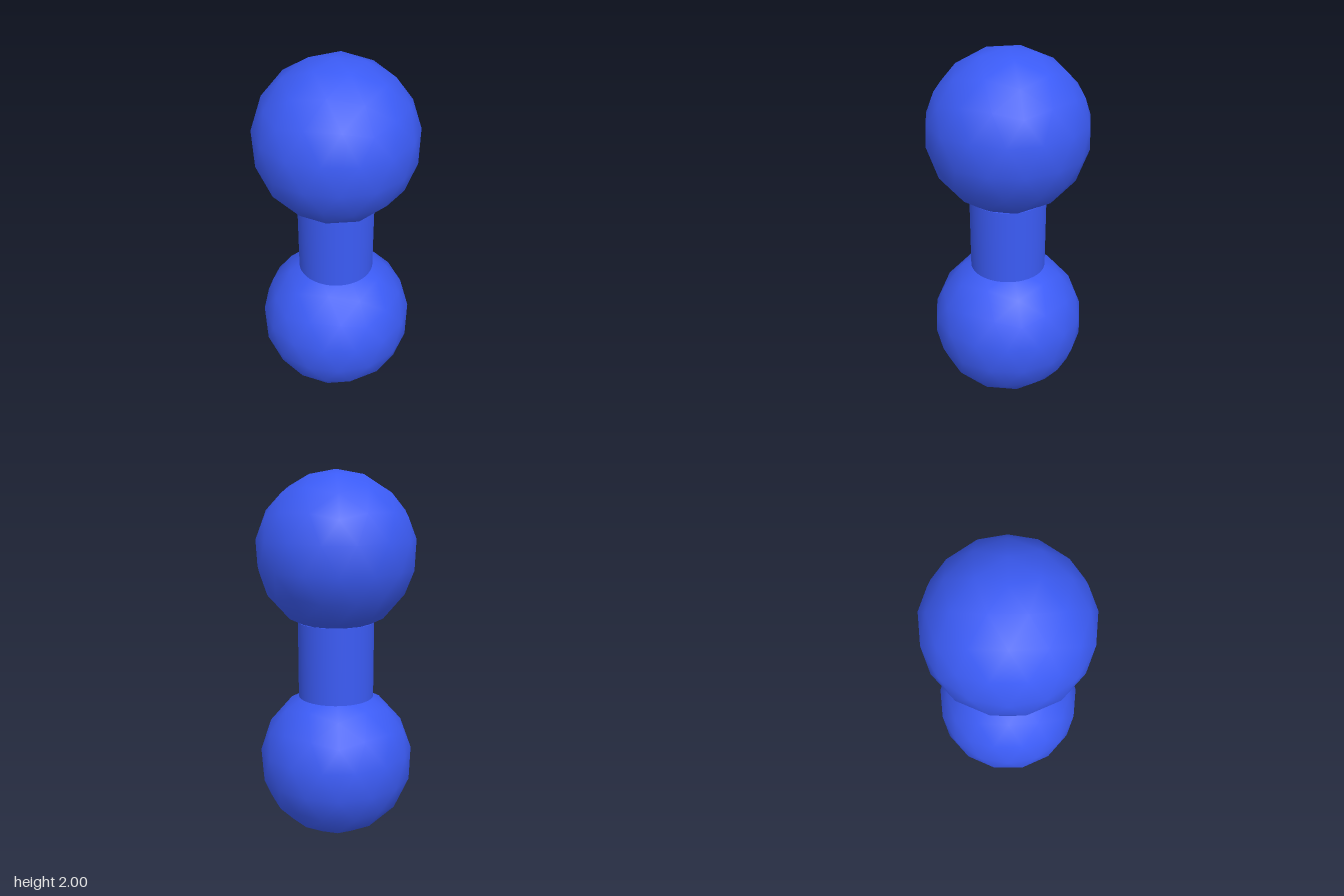
import * as THREE from 'three';

export function createModel() {
  const model = new THREE.Group();
  model.name = 'dumbbell';
  const material = new THREE.MeshStandardMaterial({ color: 0x3b5bf5 });

  function add(name, geometry, y) {
    const mesh = new THREE.Mesh(geometry, material);
    mesh.name = name;
    mesh.position.y = y;
    model.add(mesh);
  }

  // Coarse, smooth-shaded ball with one corner of the icosahedron pointing up
  const radius = 0.425;
  const ball = new THREE.IcosahedronGeometry(radius, 2);
  ball.rotateZ(-Math.atan(2 / (1 + Math.sqrt(5))));

  // Two equal balls joined by a short bar
  add('lowerBall', ball, radius);
  add('upperBall', ball, 2 - radius);
  add('bar', new THREE.CylinderGeometry(0.205, 0.205, 0.415, 48), 1.003);

  return model;
}
